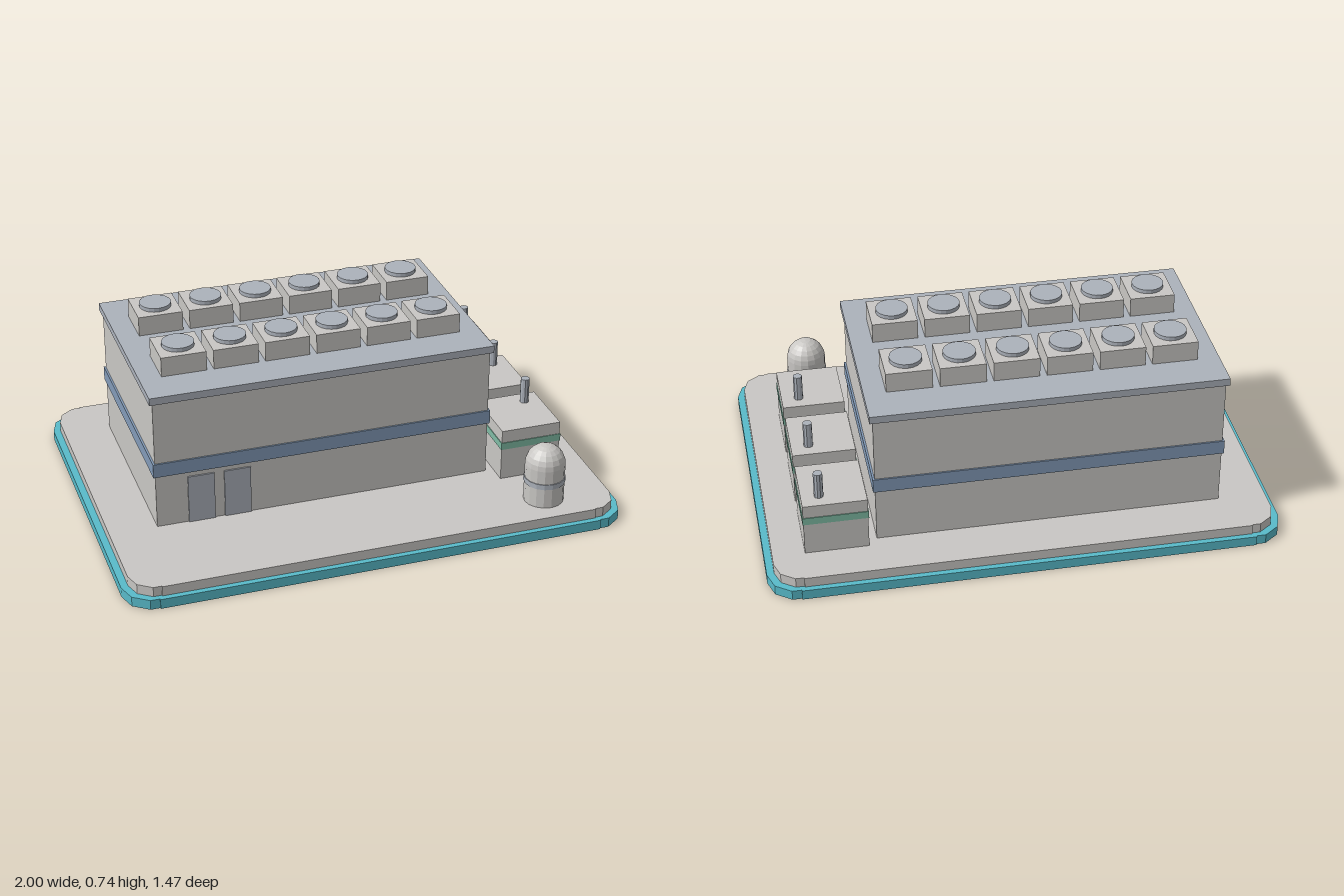
import * as THREE from 'three';

const material = (name, color, flatShading = true) => {
  const m = new THREE.MeshStandardMaterial({ color, flatShading });
  m.name = name;
  return m;
};

export function createModel() {
  const model = new THREE.Group();
  model.name = 'industrialBuilding';
  const wall = material('wall grey', 0xc9c7c4);
  const metal = material('roof grey', 0xacb2bb);
  const blue = material('band blue', 0x839bb8);
  const green = material('band green', 0x80bca5);
  const teal = material('edge teal', 0x59bbca);

  const add = (parent, name, geometry, mat, x, y, z) => {
    const mesh = new THREE.Mesh(geometry, mat);
    mesh.name = name;
    mesh.position.set(x, y, z);
    parent.add(mesh);
    return mesh;
  };
  // Box and upright cylinder placed by their bottom and top heights
  const box = (parent, name, mat, x, z, w, d, y0, y1) =>
    add(parent, name, new THREE.BoxGeometry(w, y1 - y0, d), mat, x, (y0 + y1) / 2, z);
  const cylinder = (parent, name, mat, x, z, r, y0, y1, sides) =>
    add(parent, name, new THREE.CylinderGeometry(r, r, y1 - y0, sides, 1, false, Math.PI / 2),
      mat, x, (y0 + y1) / 2, z);
  const group = (name) => {
    const g = new THREE.Group();
    g.name = name;
    model.add(g);
    return g;
  };

  // Slabs with rounded corners: two crossed bodies and a ten-sided post in each corner,
  // joined into one outline so that no faces overlap
  const slab = (name, mat, hx, hz, r, y0, y1) => {
    const cx = hx - r, cz = hz - r;
    const corner = [0, 36, 72].map((a) => [
      cx + r * Math.cos(a * Math.PI / 180), cz + r * Math.sin(a * Math.PI / 180)]);
    corner.push([cx, cz + r * Math.sin(Math.PI * 0.4)], [cx, hz]);
    const back = [...corner].reverse();
    const points = [
      ...corner,
      ...back.map(([x, z]) => [-x, z]),
      ...corner.map(([x, z]) => [-x, -z]),
      ...back.map(([x, z]) => [x, -z]),
    ].map(([x, z]) => new THREE.Vector2(x, z));
    const geometry = new THREE.ExtrudeGeometry(new THREE.Shape(points),
      { depth: y1 - y0, bevelEnabled: false });
    geometry.rotateX(-Math.PI / 2);
    add(model, name, geometry, mat, 0, y0, 0);
  };
  slab('baseEdge', teal, 1, 0.733, 0.12, 0, 0.04);
  slab('baseSlab', wall, 0.972, 0.711, 0.105, 0.04, 0.08);

  // Main hall with band, roof and doors
  const hall = group('hall');
  const hx = -0.108, hz = -0.106;
  box(hall, 'hallWalls', wall, hx, hz, 1.35, 0.822, 0.08, 0.615);
  box(hall, 'hallBand', blue, hx, hz, 1.366, 0.834, 0.3, 0.357);
  box(hall, 'roof', metal, hx, hz, 1.375, 0.842, 0.615, 0.645);
  for (const x of [-0.605, -0.461]) {
    box(hall, 'door', metal, x, 0.3075, 0.105, 0.007, 0.08, 0.28);
  }

  // Rooftop coolers in two rows of six
  const coolers = group('rooftopCoolers');
  for (const z of [-0.283, 0.072]) {
    for (let i = 0; i < 6; i++) {
      const x = -0.62 + i * 0.205;
      box(coolers, 'coolerBox', wall, x, z, 0.178, 0.178, 0.645, 0.724);
      cylinder(coolers, 'coolerFan', metal, x, z, 0.063, 0.724, 0.74, 20);
    }
  }

  // Generators with exhaust stacks along the right side
  const generators = group('generators');
  for (const z of [-0.425, -0.088, 0.249]) {
    box(generators, 'generatorBox', wall, 0.724, z, 0.246, 0.265, 0.08, 0.295);
    box(generators, 'generatorBand', green, 0.724, z, 0.252, 0.271, 0.213, 0.243);
    cylinder(generators, 'exhaustStack', metal, 0.778, z - 0.071, 0.018, 0.295, 0.4, 10);
  }

  // Domed tank
  const tank = group('tank');
  cylinder(tank, 'tankBody', wall, 0.706, 0.568, 0.079, 0.08, 0.241, 16);
  cylinder(tank, 'tankBand', metal, 0.706, 0.568, 0.082, 0.163, 0.185, 16);
  add(tank, 'tankDome', new THREE.SphereGeometry(0.079, 16, 6, 0, Math.PI * 2, 0, Math.PI / 2),
    wall, 0.706, 0.241, 0.568);

  return model;
}
